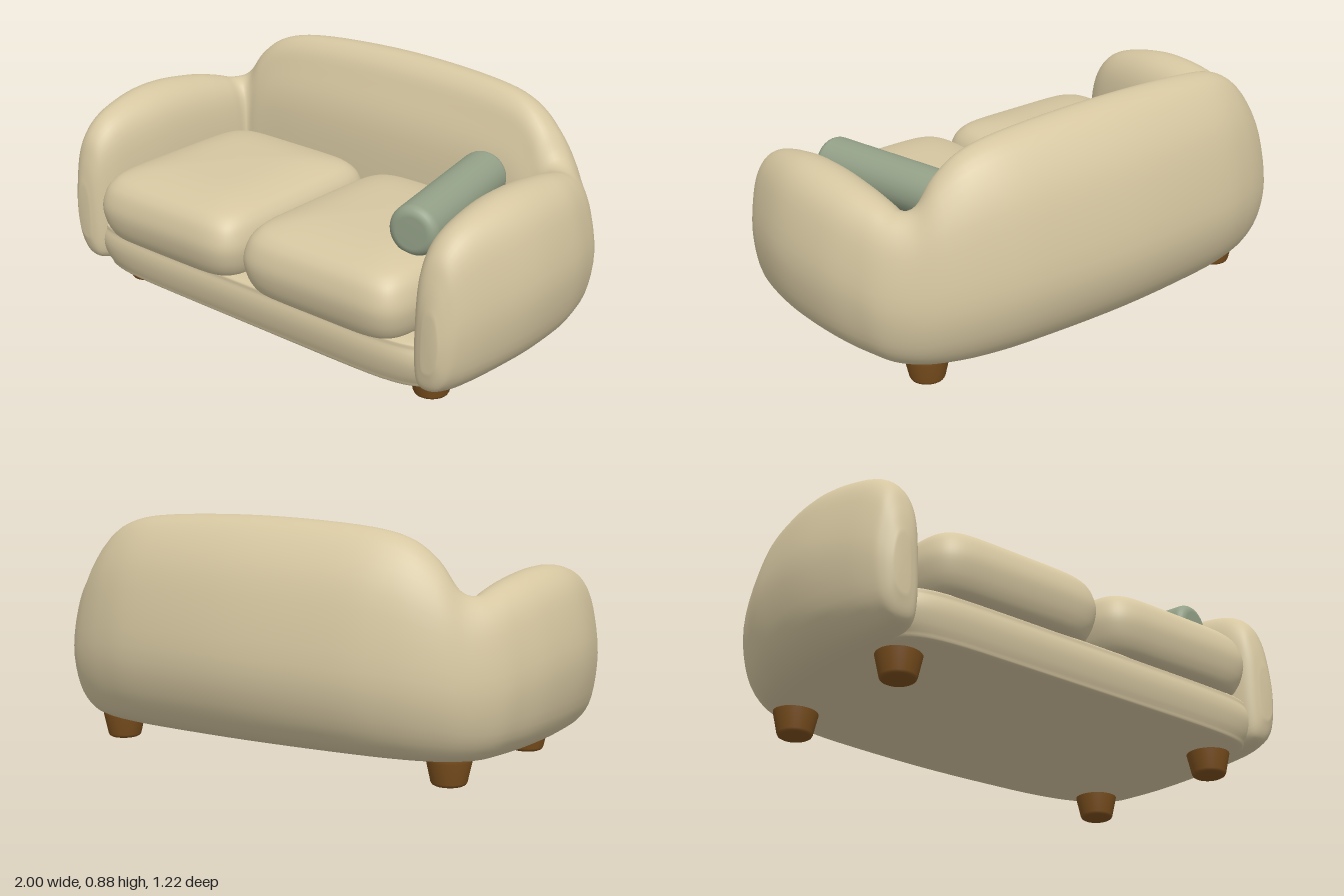
import * as THREE from 'three';

const mat = (name, color) => {
  const m = new THREE.MeshStandardMaterial({ color });
  m.name = name;
  return m;
};

// Smooth closed skin over a list of equal-length rings, capped at both ends
function loft(rings) {
  const n = rings[0].length, pos = [], idx = [];
  rings.forEach(r => r.forEach(p => pos.push(p.x, p.y, p.z)));
  for (let i = 0; i < rings.length - 1; i++) {
    for (let j = 0; j < n; j++) {
      const k = (j + 1) % n, a = i * n + j, b = a + n, c = i * n + k, d = c + n;
      idx.push(a, b, c, b, d, c);
    }
  }
  [0, rings.length - 1].forEach((r, end) => {
    const c = new THREE.Vector3();
    rings[r].forEach(p => c.addScaledVector(p, 1 / n));
    const centre = pos.length / 3;
    pos.push(c.x, c.y, c.z);
    for (let j = 0; j < n; j++) {
      const a = r * n + j, b = r * n + (j + 1) % n;
      if (end) idx.push(centre, b, a); else idx.push(centre, a, b);
    }
  });
  const g = new THREE.BufferGeometry();
  g.setAttribute('position', new THREE.Float32BufferAttribute(pos, 3));
  g.setIndex(idx);
  g.computeVertexNormals();
  return g;
}

// Soft slab: a rounded-rectangle plan scaled along a [scale, height] profile
function pad(halfW, halfD, cx, cz, power, profile) {
  const curve = new THREE.SplineCurve(profile.map(p => new THREE.Vector2(...p)));
  const soft = v => Math.sign(v) * Math.abs(v) ** power;
  return loft(curve.getPoints(40).map(({ x: s, y }) =>
    Array.from({ length: 64 }, (_, j) => {
      const t = (j + 0.5) / 64 * Math.PI * 2;
      return new THREE.Vector3(cx + halfW * s * soft(Math.cos(t)), y, cz + halfD * s * soft(Math.sin(t)));
    })));
}

// Cross-sections as [inner to outer, bottom to top] fractions
const ARM = [[.4, 0], [.68, .05], [.9, .2], [1, .5], [.89, .8], [.72, .95],
  [.48, 1], [.22, .95], [.06, .8], [0, .5], [0, .2], [.1, .03]];
const BACK = [[.45, 0], [.73, .05], [.93, .2], [1, .42], [.87, .75], [.63, .95],
  [.4, 1], [.25, .96], [.15, .86], [.02, .64], [0, .2], [.1, .03]];

// Stations from arm tip to middle of back:
// inner x, inner z, outer x, outer z, bottom, top, arm-to-back blend
const STATIONS = [
  [.80, .55, .86, .55, .20, .40, 0],
  [.765, .535, .89, .525, .13, .51, 0],
  [.74, .50, .915, .49, .105, .60, 0],
  [.715, .42, .95, .40, .09, .665, 0],
  [.695, .25, .99, .24, .09, .705, 0],
  [.69, .08, 1, .10, .09, .71, 0],
  [.69, -.08, .985, -.07, .09, .69, 0],
  [.69, -.16, .95, -.20, .09, .665, .1],
  [.69, -.20, .91, -.30, .09, .645, .3],
  [.68, -.21, .83, -.395, .09, .665, .6],
  [.64, -.21, .74, -.465, .09, .76, .9],
  [.56, -.21, .60, -.53, .09, .835, 1],
  [.38, -.205, .40, -.58, .09, .87, 1],
  [0, -.20, 0, -.61, .09, .885, 1],
];

// Arms and back as one swept wall
function wallGeometry() {
  const mirrored = STATIONS.slice(0, -1).reverse().map(([a, b, c, ...rest]) => [-a, b, -c, ...rest]);
  const all = [...STATIONS, ...mirrored];
  const track = f => new THREE.CatmullRomCurve3(all.map(s => new THREE.Vector3(...f(s))), false, 'catmullrom');
  const inner = track(s => [s[0], s[5], s[1]]);
  const outer = track(s => [s[2], s[4], s[3]]);
  const blend = track(s => [s[6], 0, 0]);
  const rings = [], steps = (all.length - 1) * 5;
  for (let i = 0; i <= steps; i++) {
    const I = inner.getPoint(i / steps), O = outer.getPoint(i / steps);
    const b = THREE.MathUtils.clamp(blend.getPoint(i / steps).x, 0, 1);
    const section = new THREE.CatmullRomCurve3(ARM.map(([u, v], k) => new THREE.Vector3(
      THREE.MathUtils.lerp(u, BACK[k][0], b), THREE.MathUtils.lerp(v, BACK[k][1], b), 0)), true, 'catmullrom');
    rings.push(section.getPoints(48).slice(0, 48).map(p => new THREE.Vector3(
      I.x + (O.x - I.x) * p.x, O.y + (I.y - O.y) * p.y, I.z + (O.z - I.z) * p.x)));
  }
  return loft(rings);
}

// Round solid turned from a [radius, height] profile
const turned = pts => new THREE.LatheGeometry(pts.map(p => new THREE.Vector2(...p)), 32);

export function createModel() {
  const fabric = mat('creamFabric', 0xd6c7a1);
  const sage = mat('sageFabric', 0x93a087);
  const wood = mat('brownWood', 0x7a4f1e);

  const sofa = new THREE.Group();
  sofa.name = 'sofa';
  const add = (name, geometry, material) => {
    const m = new THREE.Mesh(geometry, material);
    m.name = name;
    sofa.add(m);
    return m;
  };

  add('armsAndBack', wallGeometry(), fabric);
  add('base', pad(.84, .46, 0, .09, .25, [[.02, .085], [.5, .085], [.9, .087], [.965, .11],
    [1, .18], [.985, .235], [.93, .262], [.5, .265], [.02, .265]]), fabric);

  // Seat cushions with a crowned top
  for (const side of [1, -1]) {
    add(side > 0 ? 'leftCushion' : 'rightCushion', pad(.36, .41, side * .363, .2, .3,
      [[.02, .25], [.5, .25], [.85, .252], [.95, .285], [1, .36], [.98, .42],
        [.92, .465], [.8, .495], [.5, .52], [.02, .528]]), fabric);
  }

  // Bolster lying slantwise on the left cushion
  const from = new THREE.Vector3(.505, .58, -.2), to = new THREE.Vector3(.63, .58, .395);
  const half = from.distanceTo(to) / 2, r = .09, e = .035;
  const profile = [[0, -half]];
  for (const end of [-1, 1]) {
    for (let i = 0; i <= 6; i++) {
      const t = (end < 0 ? i : 6 - i) / 6 * Math.PI / 2;
      profile.push([r - e + e * Math.sin(t), end * (half - e + e * Math.cos(t))]);
    }
  }
  profile.push([0, half]);
  const bolster = add('bolster', turned(profile), sage);
  bolster.position.copy(from).lerp(to, .5);
  bolster.quaternion.setFromUnitVectors(new THREE.Vector3(0, 1, 0), to.clone().sub(from).normalize());

  // Tapered feet
  const foot = turned([[0, 0], [.052, 0], [.059, .004], [.063, .012], [.079, .085], [.082, .12], [0, .12]]);
  for (const x of [-.7, .7]) {
    for (const z of [.355, -.265]) {
      add(`${z > 0 ? 'front' : 'back'}${x > 0 ? 'Left' : 'Right'}Foot`, foot, wood).position.set(x, 0, z);
    }
  }
  return sofa;
}
